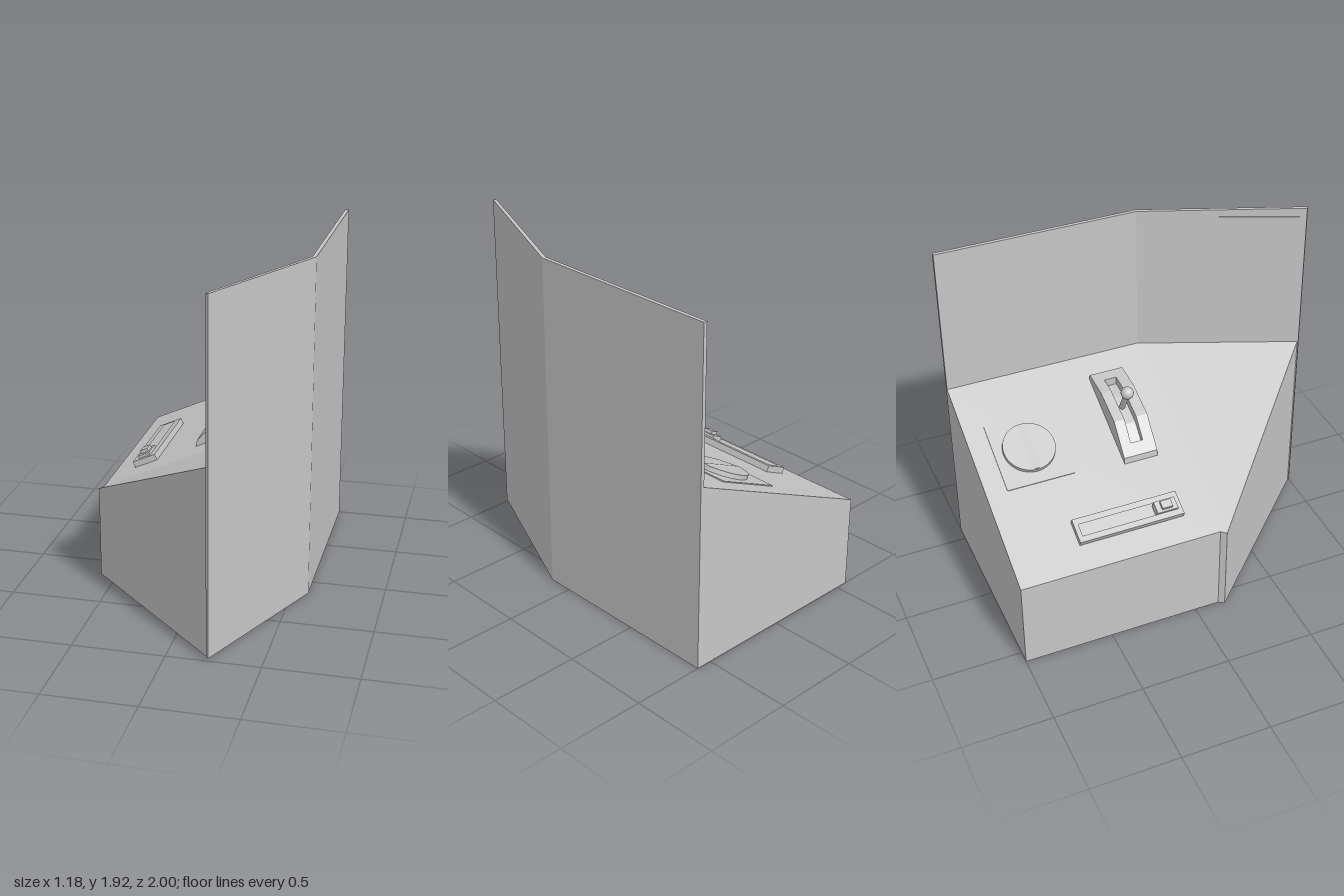
import * as THREE from 'three';

const SLOPE = 0.451;
const TILT = Math.atan(SLOPE);
const COS = Math.cos(TILT);

// Height rules: the front part of the base rises slightly, the desk slopes up to +x
const lift = (x, z) => Math.max(0, z - 0.14) * 0.0175;
const desk = (x, z) => 0.53 + SLOPE * (x + 0.57) + Math.max(0, z - 0.14) * 0.196;

export function createModel() {
  const root = new THREE.Group();
  root.name = 'controlConsole';
  const grey = new THREE.MeshStandardMaterial({ color: 0xc6c6c6 });
  grey.name = 'light grey';

  const add = (parent, name, geometry, x = 0, y = 0, z = 0) => {
    const mesh = new THREE.Mesh(geometry, grey);
    mesh.name = name;
    mesh.position.set(x, y, z);
    parent.add(mesh);
    return mesh;
  };

  const shapeOf = (pts) => new THREE.Shape(pts.map(([x, y]) => new THREE.Vector2(x, y)));

  // Upright prism over an [x, z] footprint, with bottom and top heights given by rules
  const prism = (footprint, bottom, top) => {
    const g = new THREE.ExtrudeGeometry(shapeOf(footprint.map(([x, z]) => [x, -z])), { depth: 1, bevelEnabled: false });
    g.rotateX(-Math.PI / 2);
    const p = g.attributes.position;
    for (let i = 0; i < p.count; i++) {
      const x = p.getX(i), z = p.getZ(i);
      p.setY(i, p.getY(i) > 0.5 ? top(x, z) : bottom(x, z));
    }
    g.computeVertexNormals();
    return g;
  };

  // Console body: rectangular rear part and triangular front part
  const A = [-0.572, -1], B = [0.57, -1], C = [0.57, 0.14], D = [0.215, 0.985];
  const E = [-0.572, 0.14], F = [-0.594, 0.17];
  add(root, 'bodyRear', prism([A, B, C, E], lift, desk));
  add(root, 'bodyFront', prism([E, C, D, F], lift, desk));

  // Tall folded wall along the +x side
  const wall = [[0.568, -1], [0.589, -1], [0.589, 0.14], [0.225, 1], [0.21, 0.988], [0.568, 0.136]];
  add(root, 'wall', prism(wall, lift, (x, z) => 1.905 + lift(x, z)));

  // Thin panel on the inside of the front wall section
  const along = (t, out) => [0.568 - 0.358 * t - 0.92 * out, 0.136 + 0.852 * t - 0.39 * out];
  add(root, 'wallPanel', prism([along(0.4, 0), along(0.96, 0), along(0.96, 0.007)],
    () => 1.055, () => 1.87));

  // Tilted group lying on the desk: local x runs up the slope, local y is its normal
  const panel = new THREE.Group();
  panel.name = 'deskControls';
  panel.position.set(0, desk(0, 0), 0);
  panel.rotation.z = TILT;
  root.add(panel);

  // Dial with square plate and a shallow ridge
  const dialX = 0.125 / COS;
  add(panel, 'dialPlate', new THREE.BoxGeometry(0.37 / COS, 0.006, 0.385), dialX, 0.002, -0.69);
  add(panel, 'dial', new THREE.CylinderGeometry(0.145, 0.145, 0.03, 48), dialX + 0.008, 0.015, -0.69);
  const ridge = new THREE.ExtrudeGeometry(shapeOf([[-0.025, 0], [0.025, 0], [0, 0.005]]),
    { depth: 0.28, bevelEnabled: false });
  ridge.rotateY(Math.PI / 2);
  add(panel, 'dialRidge', ridge, dialX + 0.008 - 0.14, 0.03, -0.69);

  // Slider: raised frame with a groove, and a two-step knob
  const rect = (x0, x1, z0, z1) => [[x0, -z0], [x1, -z0], [x1, -z1], [x0, -z1]];
  const frame = shapeOf(rect(-0.48, -0.34, -0.62, 0.02 - 0.04));
  frame.holes.push(shapeOf(rect(-0.446, -0.376, -0.595, -0.045)));
  const frameGeo = new THREE.ExtrudeGeometry(frame, { depth: 0.035, bevelEnabled: false });
  frameGeo.rotateX(-Math.PI / 2);
  add(panel, 'sliderFrame', frameGeo);
  add(panel, 'sliderKnobBase', new THREE.BoxGeometry(0.07, 0.05, 0.12), -0.411, 0.025, -0.105);
  add(panel, 'sliderKnobGrip', new THREE.BoxGeometry(0.045, 0.02, 0.06), -0.411, 0.058, -0.105);

  // Lever housing: arched profile in x and y, split in z so the middle strip holds a slot
  const housing = new THREE.Group();
  housing.name = 'leverHousing';
  root.add(housing);
  const start = [[0.435, 0.975], [0.42, 1.015], [0.25, 1.003]];
  const end = [[0.06, 0.937], [-0.08, 0.785], [-0.085, 0.745]];
  const slot = [[0.35, 1.01], [0.35, 0.965], [0.25, 0.955], [0.075, 0.89], [-0.03, 0.79], [-0.03, 0.839]];
  const strip = (name, profile, z0, z1) => add(housing, name,
    new THREE.ExtrudeGeometry(shapeOf(profile), { depth: z1 - z0, bevelEnabled: false }), 0, 0, z0);
  strip('housingBack', [...start, ...end], -0.215, -0.155);
  strip('housingFront', [...start, ...end], -0.085, -0.02);
  strip('housingSlot', [start[0], start[1], ...slot, end[1], end[2]], -0.155, -0.085);

  // Lever stick and ball
  const foot = new THREE.Vector3(0.185, 0.92, -0.12);
  const tip = new THREE.Vector3(0.1, 1.08, -0.12);
  add(root, 'leverStick', new THREE.TubeGeometry(new THREE.LineCurve3(foot, tip), 1, 0.016, 16));
  add(root, 'leverBall', new THREE.SphereGeometry(0.036, 24, 16), tip.x, tip.y, tip.z);

  return root;
}
